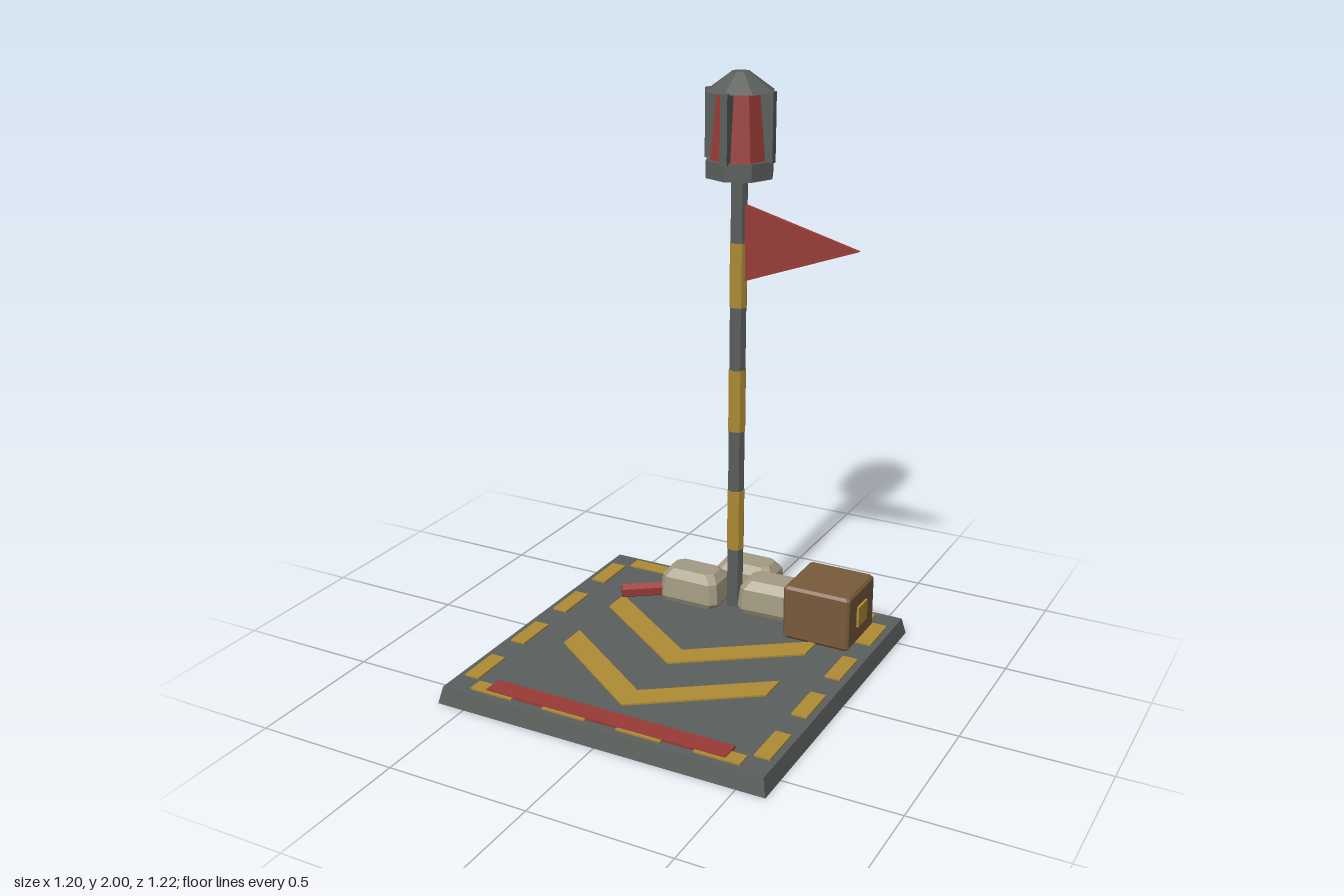
import * as THREE from 'three';

const mat = (name, color) => {
  const m = new THREE.MeshStandardMaterial({ color });
  m.name = name;
  return m;
};

// Faceted normals for the low-poly look
function faceted(geo) {
  const g = geo.index ? geo.toNonIndexed() : geo;
  g.computeVertexNormals();
  return g;
}

// Chamfered block: octagonal rings given as [height, inset], capped both ends
function chamferedBlock(w, d, corner, rings) {
  const pos = [], idx = [];
  for (const [y, inset] of rings) {
    const a = w / 2 - inset, b = d / 2 - inset, c = corner;
    [[a, b - c], [a - c, b], [c - a, b], [-a, b - c], [-a, c - b], [c - a, -b], [a - c, -b], [a, c - b]]
      .forEach(([x, z]) => pos.push(x, y, z));
  }
  for (let r = 0; r < rings.length - 1; r++) {
    for (let i = 0; i < 8; i++) {
      const p = r * 8 + i, q = r * 8 + (i + 1) % 8;
      idx.push(p, p + 8, q, q, p + 8, q + 8);
    }
  }
  const top = (rings.length - 1) * 8;
  for (let i = 1; i < 7; i++) {
    idx.push(0, i, i + 1);
    idx.push(top, top + i + 1, top + i);
  }
  const g = new THREE.BufferGeometry();
  g.setAttribute('position', new THREE.Float32BufferAttribute(pos, 3));
  g.setIndex(idx);
  return g;
}

function extruded(points, depth) {
  const shape = new THREE.Shape(points.map(([x, y]) => new THREE.Vector2(x, y)));
  return new THREE.ExtrudeGeometry(shape, { depth, bevelEnabled: false });
}

export function createModel() {
  const model = new THREE.Group();
  model.name = 'signalPost';
  const grey = mat('dark metal', 0x5a5f5c);
  const yellow = mat('marking yellow', 0xae8c34);
  const red = mat('signal red', 0x983a36);
  const sand = mat('sandbag cloth', 0xa39a82);
  const brown = mat('crate brown', 0x785a3b);

  const add = (name, geo, material, x = 0, y = 0, z = 0, parent = model) => {
    const mesh = new THREE.Mesh(faceted(geo), material);
    mesh.name = name;
    mesh.position.set(x, y, z);
    parent.add(mesh);
    return mesh;
  };
  const box = (w, h, d) => new THREE.BoxGeometry(w, h, d);
  const FLOOR = 0.06, POST_Z = -0.405;

  // Base slab with slightly tapered sides
  const slab = new THREE.CylinderGeometry(0.587 * Math.SQRT2, 0.6 * Math.SQRT2, FLOOR, 4);
  add('baseSlab', slab.rotateY(Math.PI / 4), grey, 0, FLOOR / 2, 0.01);

  // Dashed border
  for (const t of [-0.415, -0.138, 0.138, 0.415]) {
    for (const s of [-1, 1]) {
      add('sideDash', box(0.055, 0.006, 0.16), yellow, s * 0.537, FLOOR + 0.003, t + 0.008);
      add('endDash', box(0.16, 0.006, 0.055), yellow, t, FLOOR + 0.003, s * 0.535 + 0.008);
    }
  }

  // Chevrons pointing to the front
  for (const z of [0, 0.315]) {
    const chevron = extruded([[-0.39, 0.265], [-0.39, 0.16], [0, -0.115], [0.39, 0.16], [0.39, 0.265], [0, -0.01]], 0.006);
    add('chevron', chevron.rotateX(-Math.PI / 2), yellow, 0, FLOOR, z);
  }

  // Red stop line
  add('stopLine', box(0.88, 0.009, 0.073), red, 0, FLOOR + 0.0045, 0.523);

  // Banded post
  const band = (1.65 - FLOOR) / 7;
  for (let i = 0; i < 7; i++) {
    const r = i % 2 ? 0.032 : 0.03;
    add('postBand', new THREE.CylinderGeometry(r, r, band, 8), i % 2 ? yellow : grey, 0, FLOOR + band * (i + 0.5), POST_Z);
  }

  // Pennant
  add('flag', extruded([[0.025, 1.29], [0.44, 1.44], [0.025, 1.555]], 0.018), red, 0, 0, POST_Z - 0.009);

  // Lamp: collar, tapered glass, four guard bars and a cap
  const lamp = new THREE.Group();
  lamp.name = 'lamp';
  lamp.position.z = POST_Z;
  model.add(lamp);
  add('lampCollar', new THREE.CylinderGeometry(0.12, 0.12, 0.06, 8), grey, 0, 1.68, 0, lamp);
  add('lampGlass', new THREE.CylinderGeometry(0.083, 0.105, 0.23, 8), red, 0, 1.825, 0, lamp);
  for (let i = 0; i < 4; i++) {
    const a = i * Math.PI / 2;
    const bar = add('guardBar', box(0.026, 0.235, 0.045), grey, Math.sin(a) * 0.103, 1.8225, Math.cos(a) * 0.103, lamp);
    bar.rotation.y = a;
  }
  add('lampCap', new THREE.CylinderGeometry(0.03, 0.12, 0.065, 8), grey, 0, 1.9675, 0, lamp);

  // Sandbags around the foot of the post
  const rings = [[0, 0.01], [0.02, 0], [0.095, 0.007], [0.125, 0.03]];
  for (const [x, z, turn] of [[0, -0.533, 0], [-0.15, -0.381, 0], [0.148, -0.42, 0.05]]) {
    add('sandbag', chamferedBlock(0.235, 0.152, 0.022, rings), sand, x, FLOOR, z).rotation.y = turn;
  }

  // Crate with a label plate on its outer side
  const crateRings = [[0, 0.008], [0.01, 0], [0.19, 0], [0.2, 0.008]];
  add('crate', chamferedBlock(0.248, 0.236, 0.008, crateRings), brown, 0.388, FLOOR, -0.363);
  add('crateLabel', box(0.009, 0.075, 0.08), yellow, 0.516, 0.163, -0.36);

  // Red flare lying on the slab
  const flare = new THREE.CylinderGeometry(0.027, 0.027, 0.24, 6).rotateX(Math.PI / 2);
  add('flare', flare, red, -0.292, FLOOR + 0.029, -0.322).rotation.y = Math.atan2(0.14, -0.1);

  return model;
}
